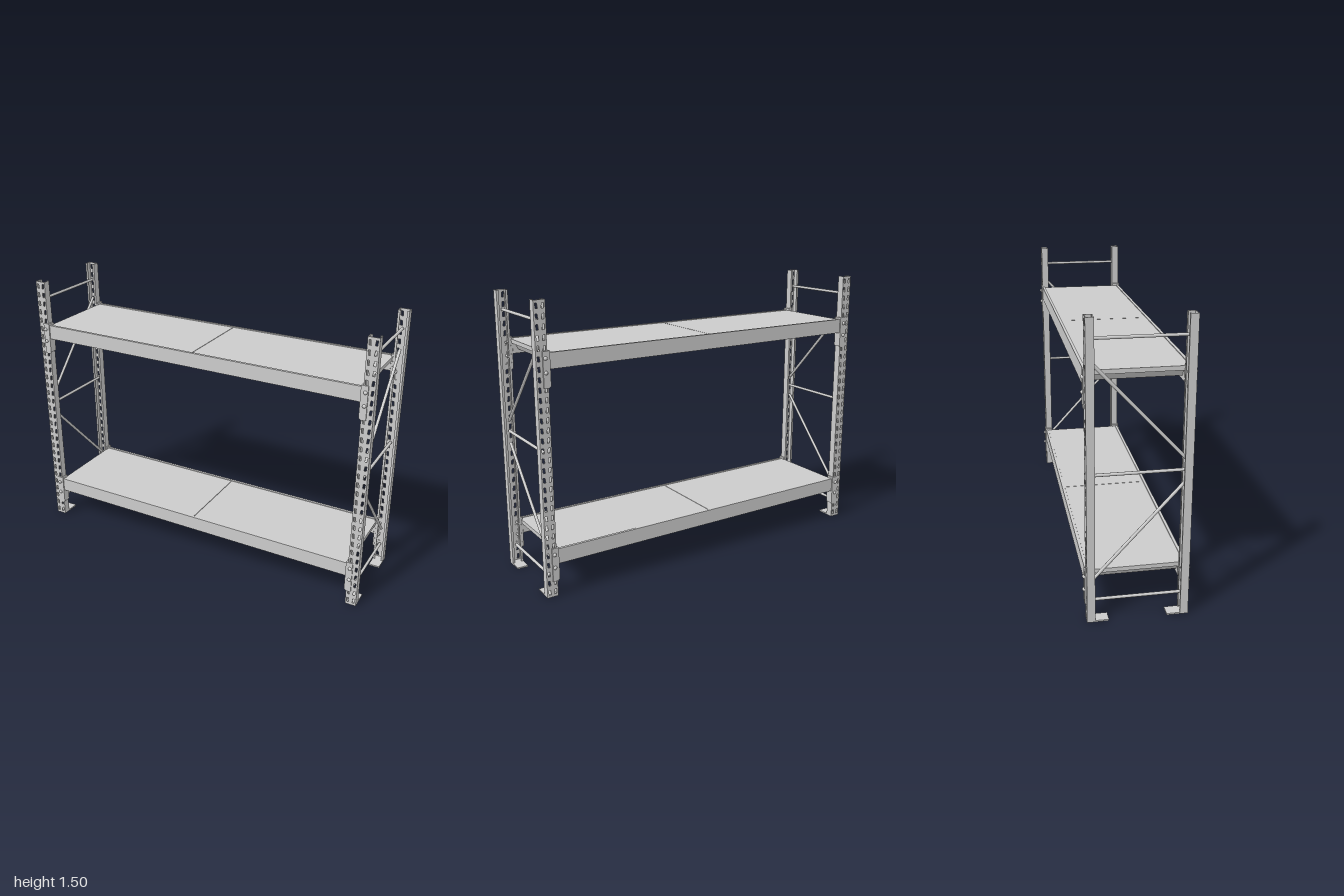
import * as THREE from 'three';

const grey = new THREE.MeshStandardMaterial({ color: 0xcccccc });
const H = 1.505; // upright height

function mesh(name, geometry, parent) {
  const m = new THREE.Mesh(geometry, grey);
  m.name = name;
  parent.add(m);
  return m;
}

// Box given by its minimum and maximum along each axis
function box(name, parent, x0, x1, y0, y1, z0, z1) {
  const m = mesh(name, new THREE.BoxGeometry(Math.abs(x1 - x0), y1 - y0, z1 - z0), parent);
  m.position.set((x0 + x1) / 2, (y0 + y1) / 2, (z0 + z1) / 2);
  return m;
}

function polygon(points) {
  return new THREE.Shape(points.map(p => new THREE.Vector2(...p)));
}

function extrude(shape, depth) {
  return new THREE.ExtrudeGeometry(shape, { depth, bevelEnabled: false });
}

// Perforated outer face of an upright: two columns of slanted slots
function perforatedWeb() {
  const shape = polygon([[-0.03, 0], [0.03, 0], [0.03, H], [-0.03, H]]);
  for (let i = 0; i < 30; i++) {
    const y = 0.028 + i * 0.05;
    for (const s of [-1, 1]) {
      const slot = [[0.009, -0.013], [0.020, -0.013], [0.023, 0.013], [0.012, 0.013]];
      shape.holes.push(polygon(slot.map(([x, dy]) => [s * x, y + dy])));
    }
  }
  return extrude(shape, 0.004);
}

// Channel-shaped upright with foot plate, outer face towards +z
function upright(webGeometry) {
  const g = new THREE.Group();
  g.name = 'upright';
  mesh('perforatedFace', webGeometry, g).position.z = 0.016;
  for (const s of [-1, 1]) {
    box('uprightSide', g, s * 0.026, s * 0.03, 0, H, -0.02, 0.016);
    box('uprightLip', g, s * 0.018, s * 0.026, 0, H, -0.02, -0.016);
  }
  box('footPlate', g, -0.03, 0.03, 0, 0.008, -0.087, 0.018);
  return g;
}

// Round brace between two (z, y) points of a side frame
function brace(name, x, z0, y0, z1, y1, parent) {
  const a = new THREE.Vector3(x, y0, z0), b = new THREE.Vector3(x, y1, z1);
  const m = mesh(name, new THREE.CylinderGeometry(0.008, 0.008, a.distanceTo(b), 12), parent);
  m.position.copy(a).lerp(b, 0.5);
  m.quaternion.setFromUnitVectors(new THREE.Vector3(0, 1, 0), b.sub(a).normalize());
}

// Stepped beam with an angled end connector and bolts at each end; y = 0 is the beam top
function beam() {
  const g = new THREE.Group();
  g.name = 'beam';
  const section = polygon([[0.21, -0.08], [0.25, -0.08], [0.25, 0], [0.235, 0], [0.235, -0.025], [0.21, -0.025]]);
  const bar = mesh('beamBar', extrude(section, 1.86), g);
  bar.rotation.y = -Math.PI / 2; // section x becomes +z, depth becomes -x
  bar.position.x = 0.93;
  for (const s of [-1, 1]) {
    const plate = polygon([[0.93, -0.16], [0.94, -0.17], [0.967, -0.17], [0.967, 0.01], [0.93, 0.01]]
      .map(([x, y]) => [s * x, y]));
    mesh('connectorPlate', extrude(plate, 0.006), g).position.z = 0.2505;
    box('connectorFlange', g, s * 0.93, s * 0.939, -0.16, 0.01, 0.212, 0.2505);
    for (const y of [-0.025, -0.095]) {
      const shank = mesh('boltShank', new THREE.CylinderGeometry(0.005, 0.005, 0.045, 12), g);
      shank.rotation.x = Math.PI / 2;
      shank.position.set(s * 0.954, y, 0.24);
      const head = mesh('boltHead', new THREE.SphereGeometry(0.01, 12, 6, 0, Math.PI * 2, 0, Math.PI / 2), g);
      head.rotation.x = Math.PI / 2;
      head.position.set(s * 0.954, y, 0.2565);
    }
  }
  return g;
}

// Deck panel: flat top sheet over seven trapezoidal ribs running front to back
function deckPanel(s) {
  const g = new THREE.Group();
  g.name = 'deckPanel';
  box('deckTop', g, s * 0.0015, s * 0.935, -0.025, -0.003, -0.234, 0.234);
  const pitch = 0.9335 / 7;
  for (let i = 0; i < 7; i++) {
    const c = s * (0.0015 + (i + 0.5) * pitch);
    const rib = polygon([[c - 0.031, -0.06], [c + 0.031, -0.06], [c + 0.05, -0.025], [c - 0.05, -0.025]]);
    mesh('deckRib', extrude(rib, 0.42), g).position.z = -0.21;
  }
  return g;
}

export function createModel() {
  const root = new THREE.Group();
  root.name = 'storageRack';
  const web = perforatedWeb();

  // Side frames: two uprights joined by level and diagonal braces
  for (const sx of [-1, 1]) {
    const frame = new THREE.Group();
    frame.name = sx > 0 ? 'leftFrame' : 'rightFrame';
    root.add(frame);
    for (const sz of [-1, 1]) {
      const post = upright(web);
      post.position.set(sx * 0.97, 0, sz * 0.23);
      if (sz < 0) post.rotation.y = Math.PI;
      frame.add(post);
    }
    const x = sx * 0.968;
    for (const y of [0.108, 0.76, 1.405]) brace('levelBrace', x, -0.225, y, 0.225, y, frame);
    brace('diagonalBrace', x, 0.22, 0.818, -0.22, 1.295, frame);
    brace('diagonalBrace', x, 0.22, 0.697, -0.22, 0.214, frame);
  }

  // Two shelves, each with front and back beams and two deck panels
  for (const y of [0.255, 1.255]) {
    const shelf = new THREE.Group();
    shelf.name = y < 1 ? 'lowerShelf' : 'upperShelf';
    shelf.position.y = y;
    const back = beam();
    back.rotation.y = Math.PI;
    shelf.add(beam(), back, deckPanel(-1), deckPanel(1));
    root.add(shelf);
  }
  return root;
}
